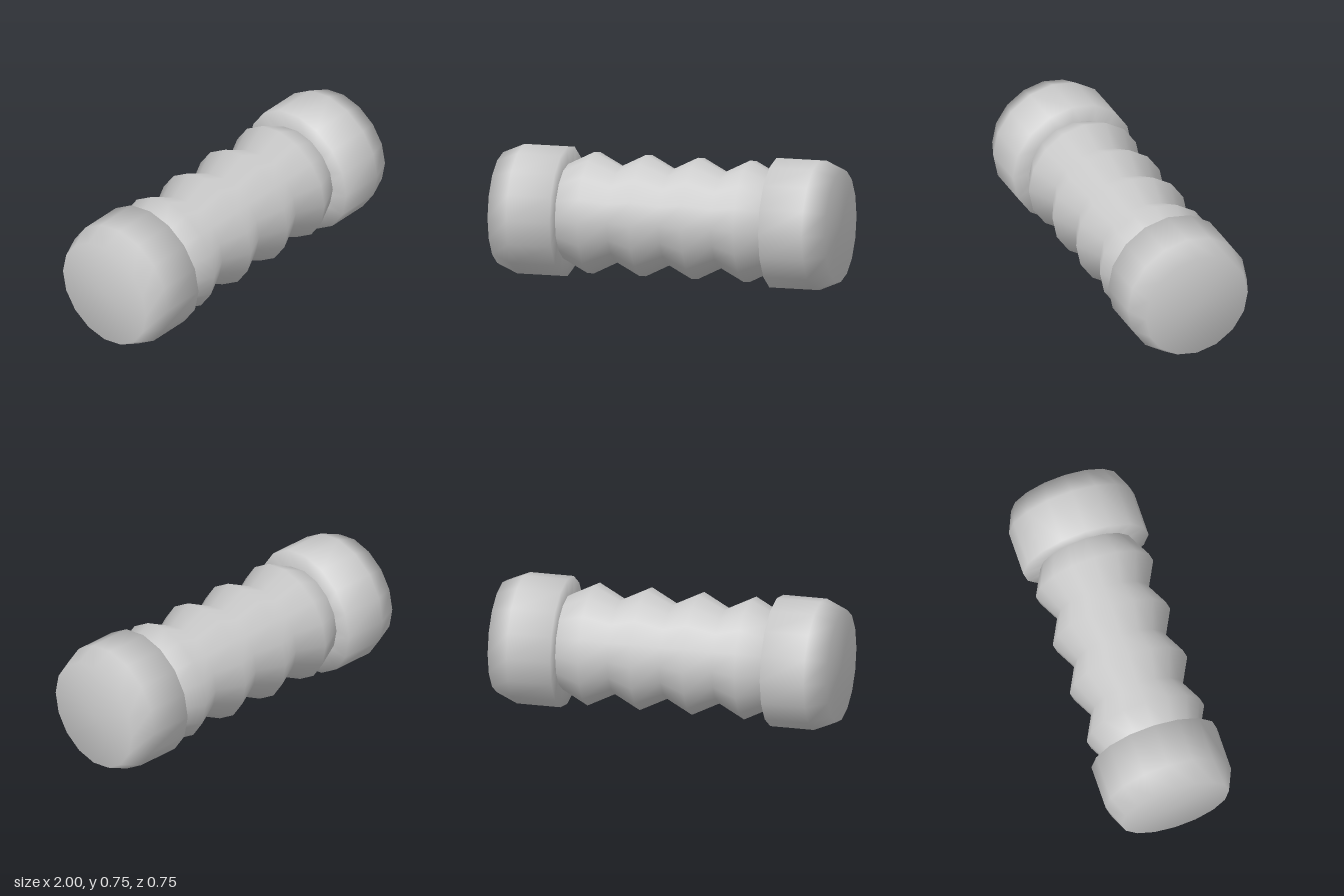
import * as THREE from 'three';

const SIDES = 16;
const RADIUS = 0.376;

// Turn an [along, radius] profile into a smooth 16-sided solid lying along x
function turned(name, profile) {
  const points = profile.map(([x, r]) => new THREE.Vector2(r, x));
  const geometry = new THREE.LatheGeometry(points, SIDES);
  geometry.rotateZ(-Math.PI / 2);
  const material = new THREE.MeshStandardMaterial({ color: 0xcccccc });
  const mesh = new THREE.Mesh(geometry, material);
  mesh.name = name;
  mesh.position.y = RADIUS;
  return mesh;
}

export function createModel() {
  const group = new THREE.Group();
  group.name = 'dumbbell';

  // Ridged grip: four ridges between five valleys
  const gripEnd = 0.615, ridges = 4;
  const grip = [];
  for (let i = 0; i <= ridges * 2; i++) {
    grip.push([-gripEnd + (i * gripEnd) / ridges, i % 2 ? 0.352 : 0.274]);
  }
  group.add(turned('grip', grip));

  // Bevelled end weights, mirrored left and right
  const weight = [[0.618, 0.21], [0.618, RADIUS], [0.875, RADIUS], [1, 0.322], [1, 0]];
  const left = turned('leftWeight', weight);
  const right = turned('rightWeight', weight);
  right.rotation.y = Math.PI;
  group.add(left, right);

  return group;
}
